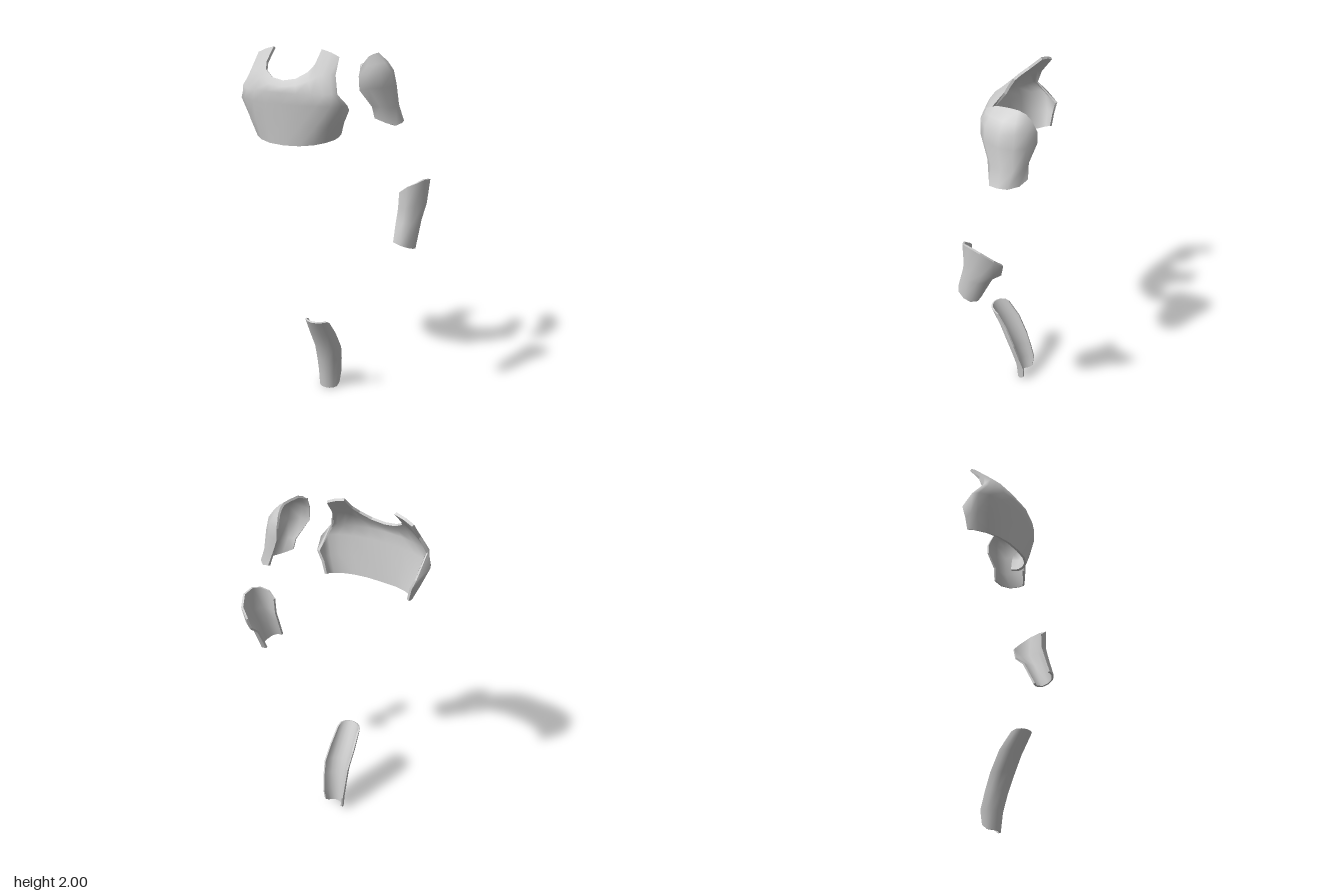
import * as THREE from 'three';
import { mergeGeometries } from 'three/addons/utils/BufferGeometryUtils.js';

// Smooth surface over a grid of points; rows run bottom to top
function surface(points, cols, flip) {
  const index = [];
  const rows = points.length / cols;
  for (let r = 0; r < rows - 1; r++) {
    for (let c = 0; c < cols - 1; c++) {
      const a = r * cols + c, b = a + 1, d = a + cols, e = d + 1;
      if (flip) index.push(a, e, b, a, d, e);
      else index.push(a, b, e, a, e, d);
    }
  }
  const g = new THREE.BufferGeometry().setFromPoints(points);
  g.setIndex(index);
  g.computeVertexNormals();
  return g;
}

// Curved plate with thickness: outer face, inner face and a crisp rim
function plate(name, rows, thickness) {
  const cols = rows[0].length, n = rows.length;
  const outer = rows.flat().map((p) => new THREE.Vector3(...p));
  const outerGeo = surface(outer, cols, false);
  const normal = new THREE.Vector3();
  const inner = outer.map((p, i) => {
    normal.fromBufferAttribute(outerGeo.attributes.normal, i);
    return p.clone().addScaledVector(normal, -thickness);
  });
  const innerGeo = surface(inner, cols, true);

  // Walk the boundary counter-clockwise
  const loop = [];
  for (let c = 0; c < cols - 1; c++) loop.push(c);
  for (let r = 0; r < n - 1; r++) loop.push(r * cols + cols - 1);
  for (let c = cols - 1; c > 0; c--) loop.push((n - 1) * cols + c);
  for (let r = n - 1; r > 0; r--) loop.push(r * cols);
  const rim = [];
  loop.forEach((a, i) => {
    const b = loop[(i + 1) % loop.length];
    rim.push(inner[a], inner[b], outer[b], inner[a], outer[b], outer[a]);
  });
  const rimGeo = new THREE.BufferGeometry().setFromPoints(rim);
  rimGeo.computeVertexNormals();

  const geo = mergeGeometries([outerGeo.toNonIndexed(), innerGeo.toNonIndexed(), rimGeo]);
  const mesh = new THREE.Mesh(geo, new THREE.MeshStandardMaterial({ color: 0xcccccc, side: THREE.DoubleSide }));
  mesh.name = name;
  return mesh;
}

// Breastplate: half sections from the centre line to the armhole, mirrored
function breastplate() {
  const half = [
    [[0, 1.51, .2], [.09, 1.513, .192], [.16, 1.52, .165], [.21, 1.53, .125], [.24, 1.54, .08], [.25, 1.55, .05], [.25, 1.56, .02]],
    [[0, 1.62, .208], [.1, 1.62, .202], [.18, 1.62, .18], [.24, 1.625, .145], [.275, 1.63, .1], [.285, 1.63, .06], [.265, 1.63, .015]],
    [[0, 1.73, .218], [.1, 1.73, .212], [.19, 1.73, .192], [.26, 1.73, .165], [.305, 1.73, .125], [.32, 1.73, .09], [.29, 1.69, .01]],
    [[0, 1.79, .223], [.09, 1.79, .22], [.17, 1.79, .202], [.23, 1.79, .18], [.265, 1.795, .16], [.28, 1.8, .145], [.285, 1.79, .135]],
    [[0, 1.82, .215], [.08, 1.83, .207], [.145, 1.855, .18], [.175, 1.875, .155], [.2, 1.885, .137], [.235, 1.885, .115], [.255, 1.88, .097]],
    [[0, 1.85, .195], [.07, 1.862, .185], [.125, 1.895, .155], [.145, 1.93, .115], [.145, 2, .04], [.2, 1.985, .037], [.245, 1.965, .035]],
  ];
  const centre = -.2;
  const rows = half.map((row) => [
    ...row.slice(1).reverse().map(([x, y, z]) => [centre - x, y, z]),
    ...row.map(([x, y, z]) => [centre + x, y, z]),
  ]);
  return plate('breastplate', rows, .014);
}

// Shoulder guard: domed cap above a flared cuff, each row front to rear
function shoulderGuard() {
  return plate('shoulderGuard', [
    [[.235, 1.66, .005], [.29, 1.635, -.02], [.335, 1.622, -.05], [.346, 1.628, -.1], [.335, 1.63, -.15], [.29, 1.635, -.19], [.24, 1.655, -.21]],
    [[.22, 1.72, .01], [.265, 1.72, 0], [.3, 1.71, -.04], [.312, 1.71, -.1], [.3, 1.71, -.16], [.26, 1.72, -.195], [.215, 1.73, -.2]],
    [[.18, 1.81, .075], [.225, 1.82, .06], [.275, 1.82, .01], [.302, 1.82, -.08], [.285, 1.82, -.155], [.24, 1.82, -.2], [.17, 1.82, -.22]],
    [[.175, 1.88, .075], [.215, 1.89, .06], [.265, 1.895, .01], [.29, 1.885, -.08], [.27, 1.89, -.15], [.23, 1.89, -.195], [.17, 1.88, -.22]],
    [[.18, 1.92, .065], [.205, 1.93, .045], [.235, 1.935, 0], [.25, 1.935, -.08], [.24, 1.935, -.14], [.21, 1.93, -.175], [.175, 1.92, -.2]],
    [[.185, 1.935, .055], [.19, 1.95, .04], [.19, 1.972, -.01], [.19, 1.978, -.08], [.19, 1.978, -.13], [.185, 1.965, -.165], [.18, 1.94, -.19]],
  ], .012);
}

// Forearm guard: open towards the body, widening to the elbow
function forearmGuard() {
  return plate('forearmGuard', [
    [[.39, 1.03, .085], [.43, 1.02, .092], [.465, 1.005, .07], [.482, .99, .03], [.48, .98, -.01], [.455, .98, -.04], [.42, .985, -.04]],
    [[.39, 1.13, .055], [.43, 1.13, .062], [.475, 1.13, .04], [.495, 1.13, -.01], [.49, 1.13, -.06], [.465, 1.13, -.095], [.42, 1.13, -.11]],
    [[.392, 1.2, .035], [.435, 1.21, .042], [.48, 1.22, .02], [.505, 1.22, -.04], [.5, 1.21, -.1], [.47, 1.2, -.145], [.425, 1.18, -.165]],
    [[.395, 1.29, .032], [.44, 1.325, .042], [.485, 1.345, .02], [.51, 1.357, -.03], [.515, 1.345, -.1], [.485, 1.3, -.16], [.435, 1.25, -.183]],
  ], .012);
}

// Shin guard: leaning trough open to the rear
function shinGuard() {
  // height, front z, rear z, right x, left x
  const levels = [
    [.002, .003, -.06, -.125, .002], [.1, .015, -.067, -.132, .01], [.2, .038, -.04, -.132, .026],
    [.29, .068, -.012, -.13, .036], [.4, .12, .043, -.134, .028], [.505, .18, .108, -.125, .022],
  ];
  const steps = 8;
  const rows = levels.map(([y, front, rear, right, left], r) => {
    const row = [];
    // Trim the corners at both ends
    const trim = r === 0 ? .025 : r === levels.length - 1 ? -.015 : 0;
    for (let i = 0; i <= steps; i++) {
      const t = (i / steps) * 2 - 1;
      const a = t * Math.PI / 2;
      row.push([
        (left + right) / 2 + (left - right) / 2 * Math.sin(a),
        y + trim * t ** 6,
        rear + (front - rear) * Math.max(0, Math.cos(a)),
      ]);
    }
    return row;
  });
  return plate('shinGuard', rows, .01);
}

export function createModel() {
  const model = new THREE.Group();
  model.name = 'armourPlates';
  model.add(breastplate(), shoulderGuard(), forearmGuard(), shinGuard());
  return model;
}
